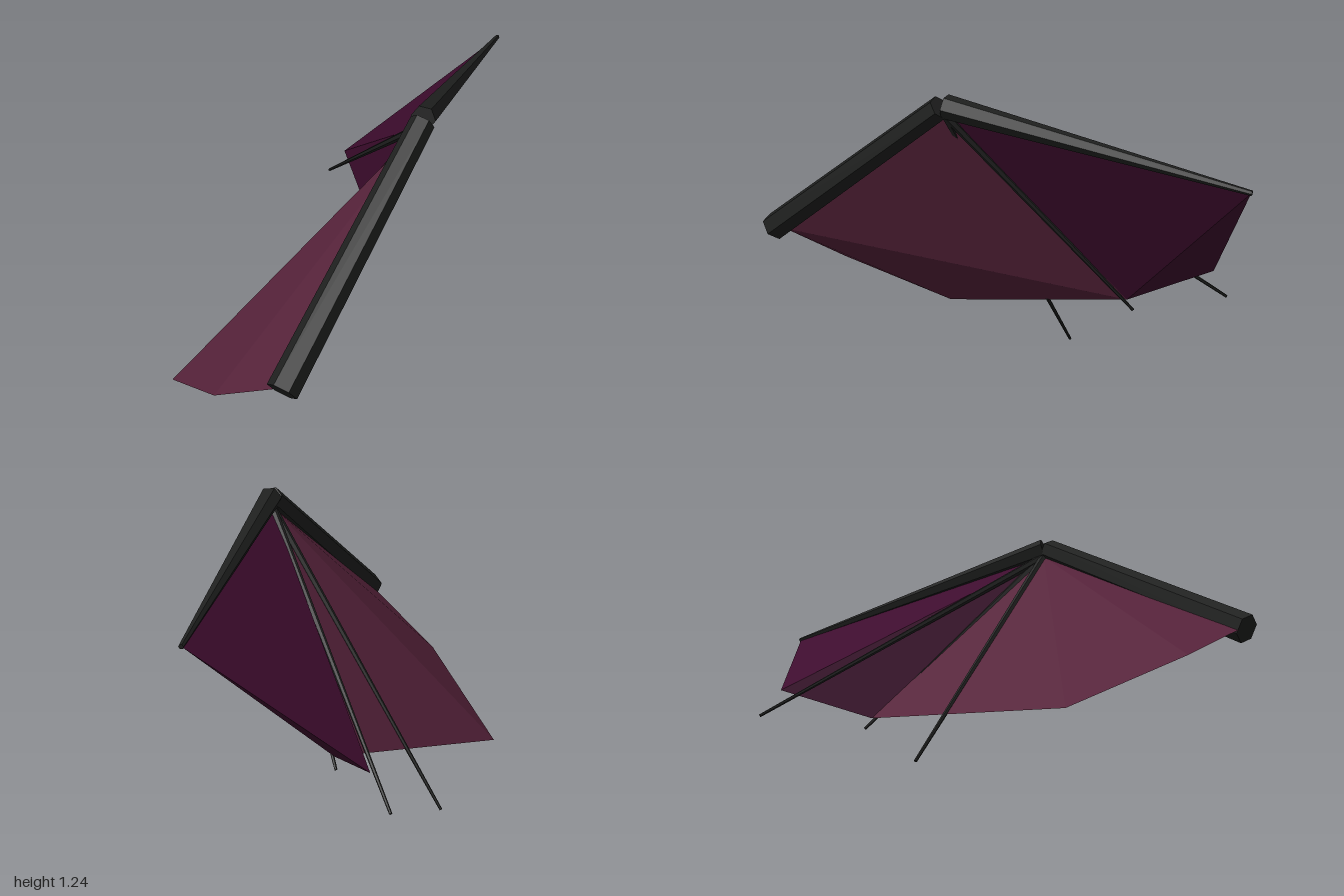
import * as THREE from 'three';
import { ConvexGeometry } from 'three/addons/geometries/ConvexGeometry.js';

const v = (x, y, z) => new THREE.Vector3(x, y, z);

export function createModel() {
  const group = new THREE.Group();
  group.name = 'wing';

  const material = (name, color) => {
    const m = new THREE.MeshStandardMaterial({ color, flatShading: true });
    m.name = name;
    return m;
  };
  const bone = material('charcoal', 0x1f201f);
  const wine = material('wine', 0x57233b);
  const plum = material('plum', 0x3e0c2e);

  const add = (name, geometry, mat) => {
    const mesh = new THREE.Mesh(geometry, mat);
    mesh.name = name;
    group.add(mesh);
    return mesh;
  };

  // Tapered six-sided rod between two points
  const rod = (name, from, to, r0, r1) => {
    const dir = to.clone().sub(from);
    const geo = new THREE.CylinderGeometry(r1, r0, dir.length(), 6, 1, false, Math.PI / 6);
    const mesh = add(name, geo, bone);
    mesh.position.copy(from).lerp(to, 0.5);
    mesh.quaternion.setFromUnitVectors(v(0, 1, 0), dir.normalize());
  };

  const wrist = v(-0.07, 1.165, 0.4);
  const inner = v(0.31, 0.365, -0.21);
  const tip = v(0.985, 0.982, -0.08);

  // Thin folded membranes: creased on both faces
  add('innerMembrane', new ConvexGeometry([
    wrist, v(-0.96, 0.54, 0.51), v(-0.96, 0.34, 0.2), v(-0.78, 0.06, -0.255), inner,
  ]), wine);
  add('outerMembrane', new ConvexGeometry([
    wrist, inner, v(0.5, 0.455, -0.52), tip,
  ]), plum);

  // Leading edge
  rod('armBone', v(-0.965, 0.56, 0.56), v(-0.085, 1.195, 0.415), 0.058, 0.047);
  rod('leadingFinger', v(-0.07, 1.2, 0.405), v(0.99, 0.984, -0.08), 0.047, 0.01);

  // Finger ribs fanning out from the wrist
  const ends = [v(-0.165, 0.005, -0.39), v(0.325, 0.32, -0.23), v(0.5, 0.32, -0.612)];
  ends.forEach((end, i) => rod('fingerRib' + (i + 1), wrist, end, 0.017, 0.006));

  return group;
}
